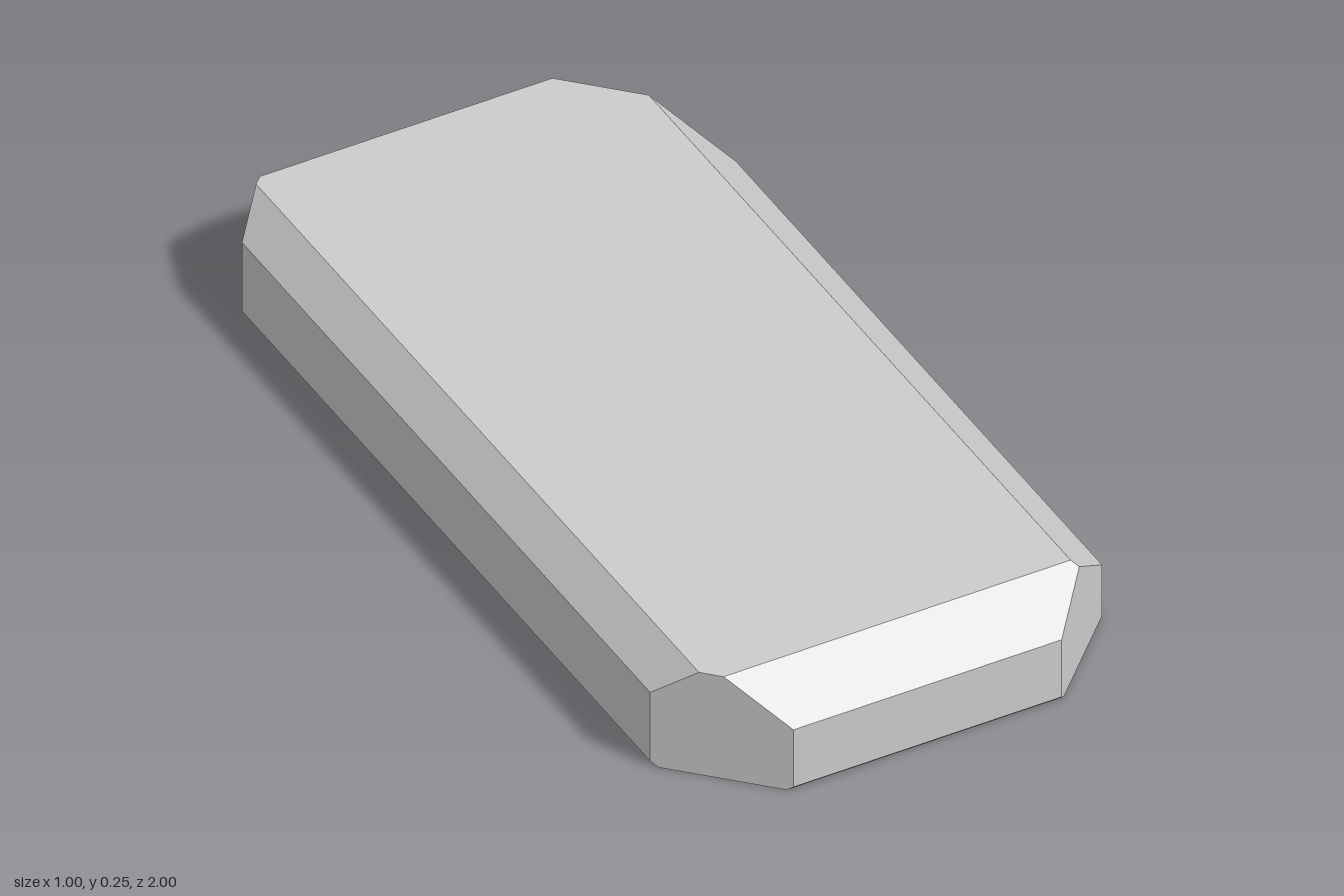
import * as THREE from 'three';
import { ConvexGeometry } from 'three/addons/geometries/ConvexGeometry.js';

// Corners of the solid bounded by planes [a, b, c, d], meaning ax + by + cz <= d
function solidCorners(planes) {
  const corners = [];
  const n = planes.map(([a, b, c]) => new THREE.Vector3(a, b, c));
  for (let i = 0; i < n.length; i++)
    for (let j = i + 1; j < n.length; j++)
      for (let k = j + 1; k < n.length; k++) {
        const jk = n[j].clone().cross(n[k]);
        const det = n[i].dot(jk);
        if (Math.abs(det) < 1e-6) continue;
        const p = jk.multiplyScalar(planes[i][3])
          .addScaledVector(n[k].clone().cross(n[i]), planes[j][3])
          .addScaledVector(n[i].clone().cross(n[j]), planes[k][3])
          .divideScalar(det);
        const inside = planes.every((q, m) => n[m].dot(p) <= q[3] + 1e-6);
        if (inside && !corners.some((c) => c.distanceTo(p) < 1e-5)) corners.push(p);
      }
  return corners;
}

export function createModel() {
  const height = 0.25;
  const planes = [[0, 1, 0, height], [0, -1, 0, 0]];

  // Side walls: direction x, z, distance, top bevel, bottom bevel
  const sides = [
    [1, 0, 0.5, 0.125, 0.004],
    [-1, 0, 0.5, 0.07, 0.012],
    [0, 1, 1, 0.1, 0.01],
    [0, -1, 1, 0.067, 0.005],
  ];
  for (const [x, z, d, top, bottom] of sides) {
    planes.push([x, 0, z, d]);
    planes.push([x, 1, z, d + height - top]);
    planes.push([x, -1, z, d - bottom]);
  }

  // Upright 45 degree corner cuts, each of a different depth
  for (const [x, z, cut] of [[1, 1, 0.2], [-1, 1, 0.205], [-1, -1, 0.155], [1, -1, 0.33]])
    planes.push([x, 0, z, 1.5 - cut]);

  const material = new THREE.MeshStandardMaterial({ color: 0xcccccc, flatShading: true });
  const slab = new THREE.Mesh(new ConvexGeometry(solidCorners(planes)), material);
  slab.name = 'bevelledSlab';

  const model = new THREE.Group();
  model.name = 'bevelledBlock';
  model.add(slab);
  return model;
}
